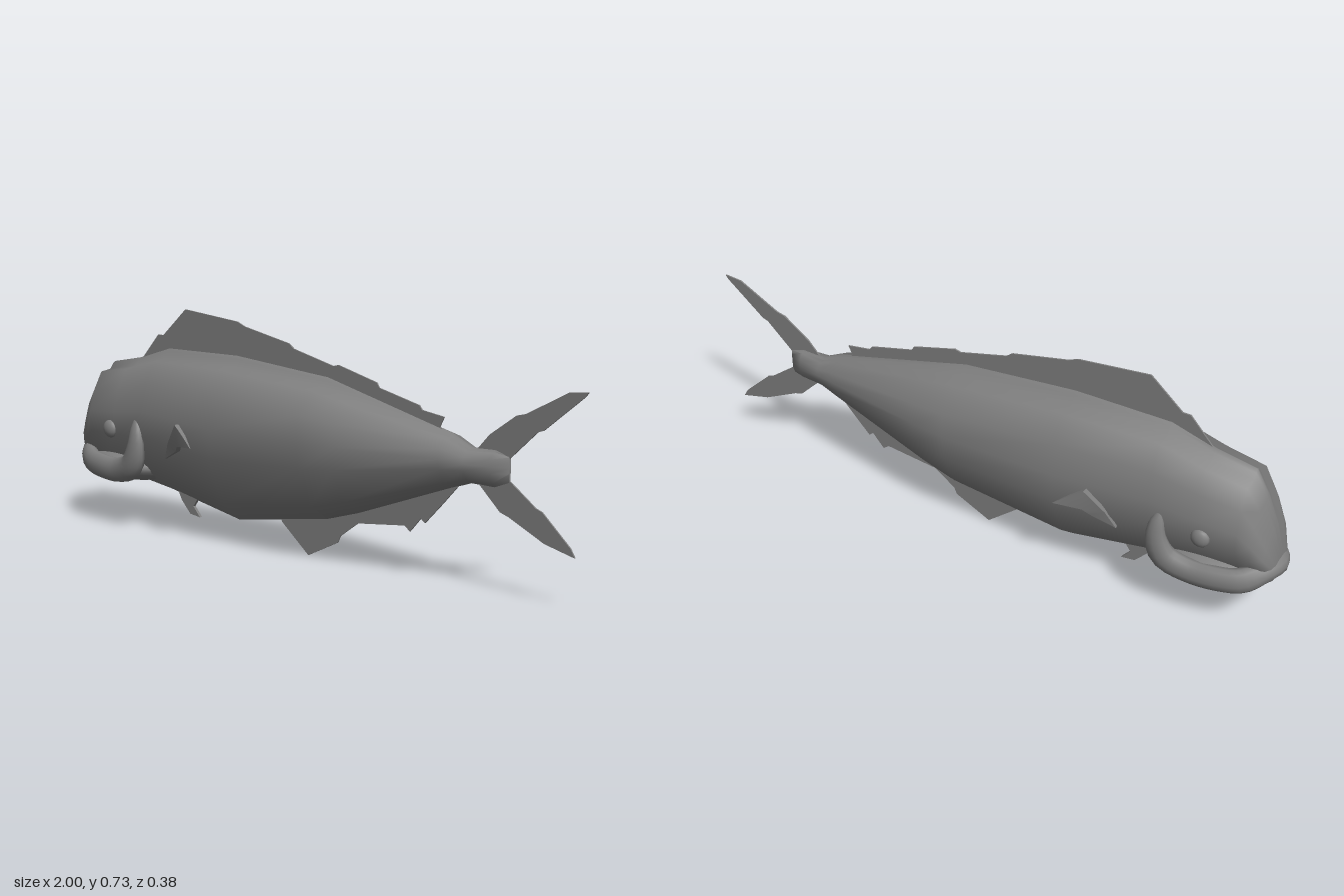
import * as THREE from 'three';
import { toCreasedNormals } from 'three/addons/utils/BufferGeometryUtils.js';

const material = new THREE.MeshStandardMaterial({ color: 0x7f7f7f });

function named(name, geometry) {
  const mesh = new THREE.Mesh(geometry, material);
  mesh.name = name;
  return mesh;
}

// Thin fin plate from an outline of [x, y] corners
function flatFin(name, outline, depth = 0.005) {
  const shape = new THREE.Shape(outline.map(([x, y]) => new THREE.Vector2(x, y)));
  const g = new THREE.ExtrudeGeometry(shape, { depth, bevelEnabled: false });
  return named(name, g.translate(0, 0, -depth / 2));
}

// Body: one half profile, scaled to each station and mirrored
function bodyGeometry() {
  // [width fraction, height fraction] from back ridge to belly keel
  const halfProfile = (shoulder) => [[0, 1], [0.1, 0.98], [0.2, 0.935], [0.55, 0.92],
    [shoulder, 0.765], [1, 0.58], [0.97, 0.4], [0.55, 0.12], [0, 0]];
  // [x, top, bottom, half width, shoulder width fraction]
  const stations = [
    [-0.98, 0.27, 0.2, 0.05, 0.85], [-0.955, 0.37, 0.185, 0.085, 0.85],
    [-0.92, 0.465, 0.17, 0.105, 0.84], [-0.88, 0.537, 0.16, 0.118, 0.83],
    [-0.75, 0.56, 0.15, 0.128, 0.84], [-0.61, 0.602, 0.13, 0.134, 0.87],
    [-0.3, 0.602, 0.07, 0.138, 0.88], [0.08, 0.566, 0.125, 0.145, 0.98],
    [0.2, 0.535, 0.16, 0.128, 0.95], [0.55, 0.445, 0.285, 0.068, 0.9],
    [0.62, 0.412, 0.308, 0.048, 0.9], [0.7, 0.415, 0.305, 0.03, 0.9],
    [0.75, 0.405, 0.315, 0.004, 0.9],
  ];
  const positions = [], index = [];
  let n = 0;
  for (const [x, top, bottom, w, shoulder] of stations) {
    const half = halfProfile(shoulder);
    const ring = [...half, ...half.slice(1, -1).reverse().map(([fw, fh]) => [-fw, fh])];
    n = ring.length;
    for (const [fw, fh] of ring) positions.push(x, bottom + fh * (top - bottom), fw * w);
  }
  const last = (stations.length - 1) * n, nose = stations.length * n;
  for (const s of [stations[0], stations.at(-1)]) positions.push(s[0], (s[1] + s[2]) / 2, 0);
  for (let j = 0; j < n; j++) {
    const k = (j + 1) % n;
    for (let r = 0; r < last; r += n)
      index.push(r + j, r + k, r + n + j, r + n + j, r + k, r + n + k);
    index.push(nose, k, j, nose + 1, last + j, last + k);
  }
  const g = new THREE.BufferGeometry();
  g.setAttribute('position', new THREE.Float32BufferAttribute(positions, 3));
  g.setIndex(index);
  return toCreasedNormals(g, 1.15);
}

// Lip that wraps the snout and sweeps up both cheeks to a point
function jawGeometry() {
  // [x, y, z, radius] from the chin to the cheek tip
  const side = [
    [-0.97, 0.235, 0, 0.032], [-0.945, 0.23, 0.06, 0.035], [-0.9, 0.207, 0.095, 0.04],
    [-0.83, 0.196, 0.11, 0.041], [-0.74, 0.194, 0.116, 0.042], [-0.67, 0.22, 0.125, 0.044],
    [-0.643, 0.28, 0.132, 0.035], [-0.642, 0.34, 0.13, 0.023], [-0.65, 0.39, 0.12, 0.002],
  ];
  const all = [...side.slice(1).reverse().map(([x, y, z, r]) => [x, y, -z, r]), ...side];
  const path = new THREE.CatmullRomCurve3(all.map(([x, y, z]) => new THREE.Vector3(x, y, z)));
  const radii = new THREE.CatmullRomCurve3(all.map((p) => new THREE.Vector3(p[3], 0, 0)));
  const steps = 48, sides = 12;
  const g = new THREE.TubeGeometry(path, steps, 1, sides);
  const pos = g.attributes.position, p = new THREE.Vector3();
  for (let i = 0; i < pos.count; i++) {
    const u = Math.floor(i / (sides + 1)) / steps;
    const c = path.getPointAt(u);
    const r = Math.max(0.001, radii.getPoint(path.getUtoTmapping(u)).x);
    p.fromBufferAttribute(pos, i).sub(c).multiplyScalar(r);
    p.z *= 0.65;
    p.add(c);
    pos.setXYZ(i, p.x, p.y, p.z);
  }
  g.computeVertexNormals();
  return g;
}

// Pectoral fin: bent leaf standing off the flank, tapering to its tip
function pectoralFin(name, s) {
  // [x, y, outer z, thickness]
  const p = [[-0.51, 0.26, 0.126, 0.01], [-0.48, 0.315, 0.142, 0.015],
    [-0.42, 0.385, 0.168, 0.018], [-0.375, 0.355, 0.178, 0.014], [-0.33, 0.322, 0.189, 0.003],
    [-0.415, 0.315, 0.164, 0.02], [-0.435, 0.295, 0.15, 0.02]];
  const n = p.length;
  const positions = [
    ...p.flatMap(([x, y, z]) => [x, y, z * s]),
    ...p.flatMap(([x, y, z, t]) => [x, y, (z - t) * s]),
  ];
  const index = [];
  const face = (a, b, c) => (s > 0 ? index.push(a, b, c) : index.push(a, c, b));
  for (const [a, b, c] of [[0, 6, 1], [1, 6, 5], [1, 5, 2], [2, 5, 3], [3, 5, 4]]) {
    face(a, b, c);
    face(a + n, c + n, b + n);
  }
  for (let i = 0; i < n; i++) {
    const k = (i + 1) % n;
    face(i, k, i + n);
    face(k, k + n, i + n);
  }
  const g = new THREE.BufferGeometry();
  g.setAttribute('position', new THREE.Float32BufferAttribute(positions, 3));
  g.setIndex(index);
  return named(name, toCreasedNormals(g, 0.7));
}

export function createModel() {
  const fish = new THREE.Group();
  fish.name = 'fish';
  fish.add(named('body', bodyGeometry()), named('jaw', jawGeometry()));

  // Rounded underside of the head, filling the lip from side to side
  const chin = named('chin', new THREE.SphereGeometry(1, 24, 16));
  chin.scale.set(0.195, 0.056, 0.13);
  chin.position.set(-0.785, 0.201, 0);
  fish.add(chin);

  // Paired parts
  for (const [label, s] of [['left', 1], ['right', -1]]) {
    const eye = named(label + 'Eye', new THREE.SphereGeometry(0.03, 14, 10));
    eye.scale.z = 0.6;
    eye.position.set(-0.775, 0.33, s * 0.122);
    fish.add(eye, pectoralFin(label + 'PectoralFin', s));
  }

  // Fins along the centre line, rooted inside the body
  fish.add(
    flatFin('dorsalFin', [[-0.75, 0.55], [-0.665, 0.642], [-0.64, 0.642], [-0.535, 0.733],
      [-0.3, 0.708], [-0.27, 0.695], [-0.08, 0.655], [-0.06, 0.64], [0.1, 0.6], [0.12, 0.605],
      [0.27, 0.565], [0.28, 0.55], [0.43, 0.513], [0.44, 0.5], [0.52, 0.488], [0.505, 0.458],
      [0.58, 0.42], [0.08, 0.53], [-0.3, 0.57], [-0.6, 0.57]]),
    flatFin('analFin', [[-0.12, 0.12], [-0.11, 0.09], [0, 0], [0.12, 0.058], [0.13, 0.08],
      [0.2, 0.13], [0.38, 0.15], [0.4, 0.135], [0.44, 0.18], [0.455, 0.168], [0.52, 0.235],
      [0.58, 0.3], [0.5, 0.29], [0.2, 0.19], [0.05, 0.14]]),
    flatFin('pelvicFin', [[-0.58, 0.14], [-0.56, 0.1], [-0.52, 0.058], [-0.475, 0.052],
      [-0.505, 0.085], [-0.48, 0.12]], 0.01),
    flatFin('upperTailLobe', [[0.63, 0.4], [0.68, 0.455], [0.77, 0.518], [0.8, 0.525],
      [0.94, 0.598], [1, 0.603], [0.99, 0.59], [0.86, 0.485], [0.84, 0.478], [0.745, 0.39]]),
    flatFin('lowerTailLobe', [[0.63, 0.325], [0.72, 0.238], [0.75, 0.228], [0.87, 0.17],
      [0.97, 0.145], [0.955, 0.17], [0.86, 0.258], [0.84, 0.265], [0.745, 0.335]]),
  );
  return fish;
}
